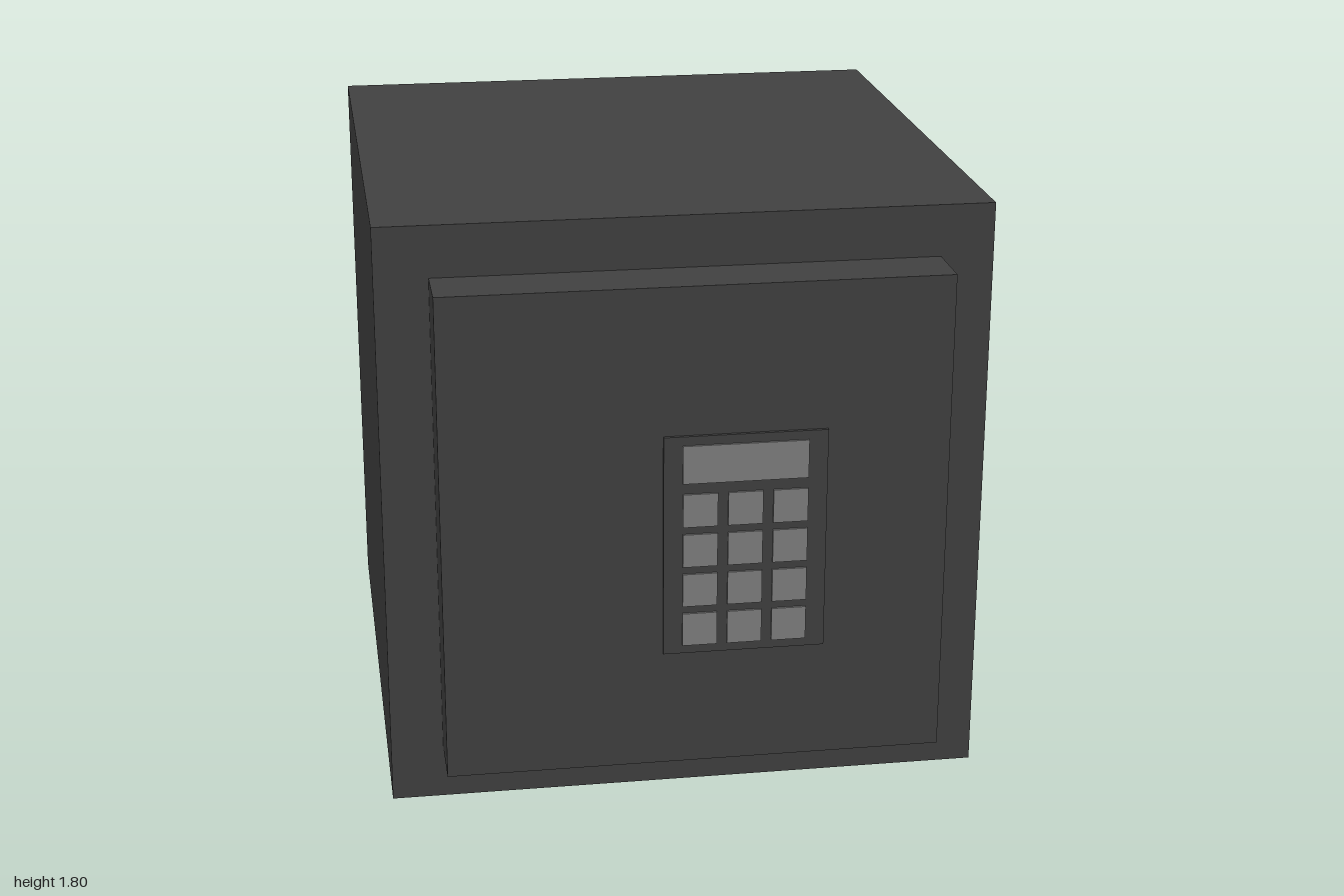
import * as THREE from 'three';

export function createModel() {
  const group = new THREE.Group();
  const dark = new THREE.MeshStandardMaterial({ color: 0x404040 });
  const light = new THREE.MeshStandardMaterial({ color: 0x808080 });

  // Box given by its lower and upper limits on each axis
  function box(name, material, [x0, x1], [y0, y1], [z0, z1]) {
    const mesh = new THREE.Mesh(new THREE.BoxGeometry(x1 - x0, y1 - y0, z1 - z0), material);
    mesh.position.set((x0 + x1) / 2, (y0 + y1) / 2, (z0 + z1) / 2);
    mesh.name = name;
    group.add(mesh);
  }

  // Safe body and its raised door
  box('body', dark, [-0.9, 0.9], [0, 1.8], [-1, 0.8]);
  box('door', dark, [-0.743, 0.743], [0.16, 1.645], [0.8, 0.983]);

  // Keypad plate with its display
  box('keypadPlate', dark, [-0.1, 0.38], [0.52, 1.2], [0.983, 0.993]);
  box('display', light, [-0.045, 0.323], [1.057, 1.173], [0.993, 1]);

  // Keys, four rows of three
  const half = 0.051;
  for (let row = 0; row < 4; row++) {
    for (let col = 0; col < 3; col++) {
      const x = 0.007 + col * 0.1325;
      const y = 0.973 - row * 0.125;
      box(`key${row * 3 + col + 1}`, light, [x - half, x + half], [y - half, y + half], [0.993, 1]);
    }
  }

  return group;
}
